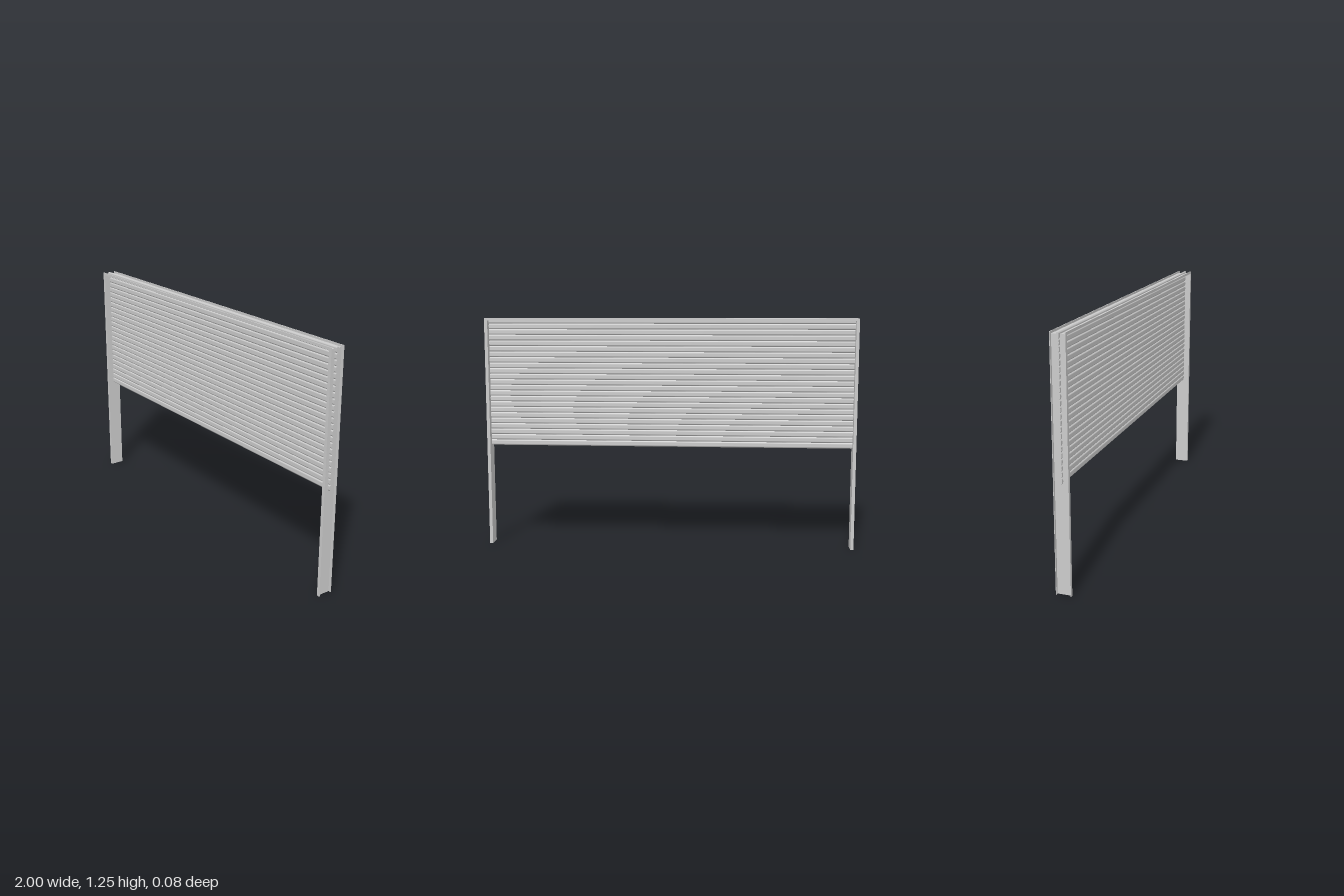
import * as THREE from 'three';
import { toCreasedNormals } from 'three/addons/utils/BufferGeometryUtils.js';

const HEIGHT = 1.245, HALF_DEPTH = 0.038, WALL = 0.003;
const INNER = 0.983;             // half width between the rail webs
const LINTEL = HEIGHT - 0.014;   // underside of the header web
const CURTAIN_BOTTOM = 0.55, SLATS = 23;

export function createModel() {
  const model = new THREE.Group();
  model.name = 'rollerShutter';
  const material = new THREE.MeshStandardMaterial({ color: 0xcccccc, side: THREE.DoubleSide });

  const add = (name, geometry, x = 0, y = 0, z = 0) => {
    const mesh = new THREE.Mesh(geometry, material);
    mesh.name = name;
    mesh.position.set(x, y, z);
    model.add(mesh);
    return mesh;
  };

  // Rail webs and header web: the floors of the outward-facing channels
  for (const [side, name] of [[1, 'leftRailWeb'], [-1, 'rightRailWeb']]) {
    add(name, new THREE.BoxGeometry(WALL, LINTEL + WALL, HALF_DEPTH * 2),
      side * (INNER + WALL / 2), (LINTEL + WALL) / 2);
  }
  add('headerWeb', new THREE.BoxGeometry(INNER * 2, WALL, HALF_DEPTH * 2), 0, LINTEL + WALL / 2);

  // Front and back flanges run round both rails and the header
  const outline = new THREE.Shape([
    [-1, 0], [-INNER, 0], [-INNER, LINTEL], [INNER, LINTEL],
    [INNER, 0], [1, 0], [1, HEIGHT], [-1, HEIGHT],
  ].map(([x, y]) => new THREE.Vector2(x, y)));
  const flange = new THREE.ExtrudeGeometry(outline, { depth: WALL, bevelEnabled: false });
  add('frontFlange', flange, 0, 0, HALF_DEPTH - WALL);
  add('backFlange', flange, 0, 0, -HALF_DEPTH);

  // Curtain of slats, each bulging to the front and the back
  const pitch = (HEIGHT - CURTAIN_BOTTOM) / SLATS;
  const half = pitch / 2, neck = 0.0015, bulge = 0.0085;
  const profile = new THREE.Shape();
  profile.moveTo(neck, -half);
  profile.bezierCurveTo(bulge, -half * 0.8, bulge, half * 0.8, neck, half);
  profile.lineTo(-neck, half);
  profile.bezierCurveTo(-bulge, half * 0.8, -bulge, -half * 0.8, -neck, -half);
  profile.closePath();
  const slat = toCreasedNormals(
    new THREE.ExtrudeGeometry(profile, { depth: 2, bevelEnabled: false, curveSegments: 10 })
      .translate(0, 0, -1).rotateY(Math.PI / 2), 0.7);
  for (let i = 0; i < SLATS; i++) {
    add(`slat${i + 1}`, slat, 0, CURTAIN_BOTTOM + pitch * (i + 0.5));
  }

  return model;
}
